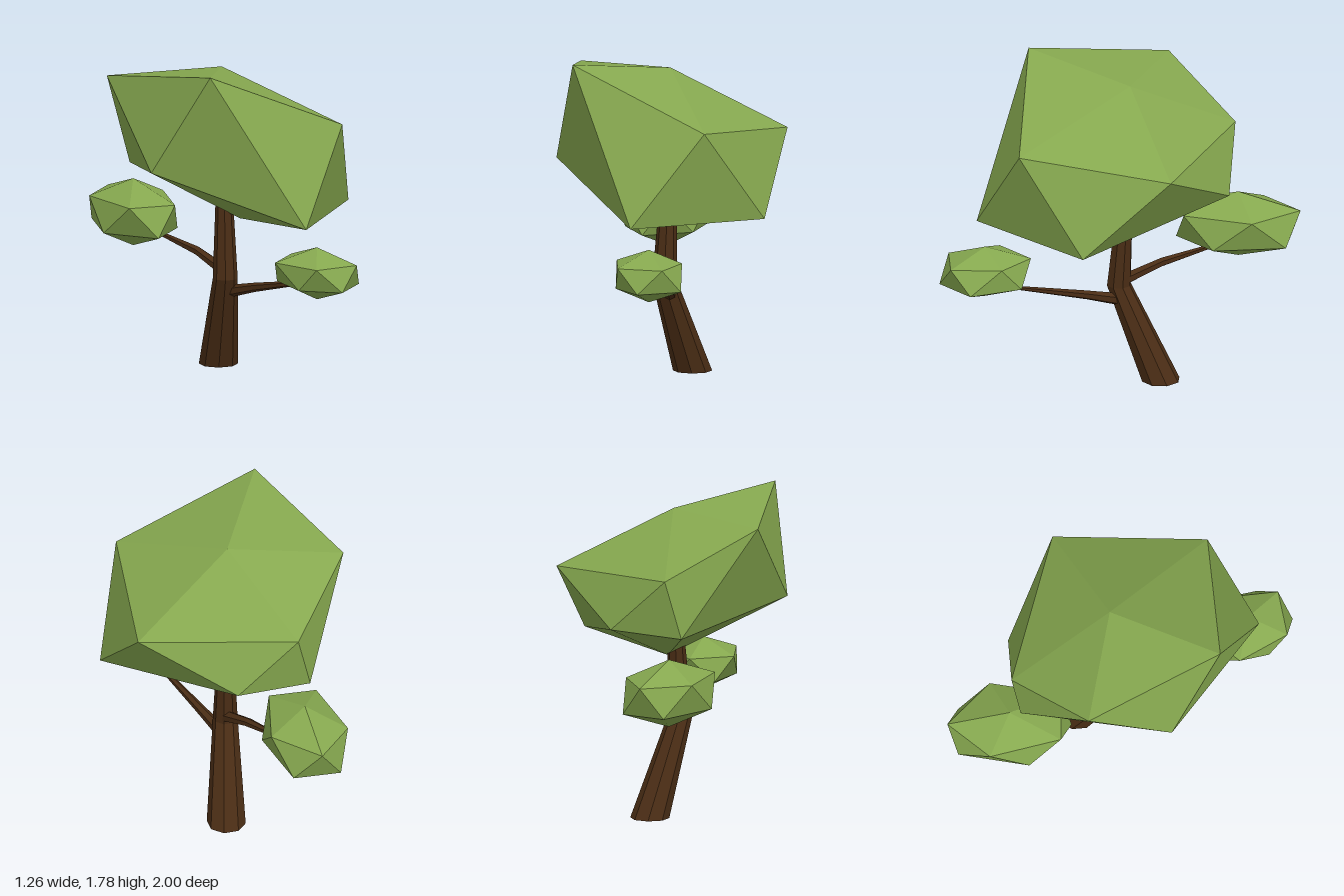
import * as THREE from 'three';

const leafMaterial = new THREE.MeshStandardMaterial({ color: 0x86a84f, flatShading: true });
const barkMaterial = new THREE.MeshStandardMaterial({ color: 0x4a2d15, flatShading: true });

// Twenty-faced foliage: two poles and a ten-point zigzag belt (upper, lower, upper...),
// counter-clockwise seen from above.
function foliage(name, top, belt, bottom) {
  const geometry = new THREE.BufferGeometry();
  geometry.setAttribute('position', new THREE.Float32BufferAttribute([...belt, top, bottom].flat(), 3));
  const faces = [];
  for (let i = 0; i < 10; i += 2) {
    const low = i + 1, next = (i + 2) % 10, nextLow = (i + 3) % 10;
    faces.push(10, i, next, i, low, next, low, nextLow, next, 11, nextLow, low);
  }
  geometry.setIndex(faces);
  const flat = geometry.toNonIndexed();
  flat.computeVertexNormals();
  const mesh = new THREE.Mesh(flat, leafMaterial);
  mesh.name = name;
  return mesh;
}

// Small clump, point-symmetric about its centre; half the belt is given as [x, z] offsets.
function clump(name, [x, y, z], height, half) {
  const ring = [...half, ...half.map(([a, b]) => [-a, -b])];
  const belt = ring.map(([a, b], i) => [x + a, y + (i % 2 ? -1 : 1) * height * 0.447, z + b]);
  return foliage(name, [x, y + height, z], belt, [x, y - height, z]);
}

// Tapered limb through [x, y, z, radius] stations. Heading 0 keeps its rings level,
// 1 and -1 face them forward and backward.
function limb(name, stations, sides, heading = 0) {
  const last = stations.length - 1;
  const geometry = new THREE.CylinderGeometry(1, 1, last, sides, last);
  const p = geometry.attributes.position;
  for (let i = 0; i < p.count; i++) {
    const [x, y, z, r] = stations[Math.round(p.getY(i) + last / 2)];
    const a = p.getX(i) * r, b = p.getZ(i) * r;
    if (heading) p.setXYZ(i, x + a, y - heading * b, z);
    else p.setXYZ(i, x + a, y, z + b);
  }
  geometry.computeVertexNormals();
  const mesh = new THREE.Mesh(geometry, barkMaterial);
  mesh.name = name;
  return mesh;
}

export function createModel() {
  const tree = new THREE.Group();
  tree.name = 'tree';

  // Leaning trunk with a bend, and two side branches
  tree.add(
    limb('trunk', [[0.107, 0, -0.187, 0.107], [-0.04, 0.53, 0.005, 0.068], [-0.02, 1.0, -0.022, 0.046]], 8),
    limb('frontBranch', [[-0.01, 0.45, 0, 0.036], [-0.01, 0.503, 0.2, 0.026], [-0.02, 0.6, 0.63, 0.01]], 6, 1),
    limb('backBranch', [[-0.02, 0.555, 0, 0.036], [-0.01, 0.64, -0.23, 0.026], [-0.01, 0.7, -0.53, 0.012]], 6, -1),
  );

  // Large lopsided crown
  tree.add(foliage('crown', [-0.01, 1.7, -0.05], [
    [0.2, 1.45, 0.66], [0.52, 0.94, 0.4],
    [0.63, 1.37, -0.07], [0.29, 1.11, -0.52],
    [-0.02, 1.41, -0.66], [-0.11, 1.09, -0.65],
    [-0.51, 1.67, -0.44], [-0.63, 1.21, 0.01],
    [-0.53, 1.78, 0.36], [-0.2, 0.94, 0.77],
  ], [0.03, 0.86, 0.05]));

  // Small clumps on the branch ends
  tree.add(
    clump('frontClump', [-0.1, 0.68, 0.755], 0.145,
      [[0.08, 0.225], [0.18, 0.145], [0.18, -0.035], [0.165, -0.155], [0.055, -0.245]]),
    clump('backClump', [-0.045, 0.797, -0.685], 0.187,
      [[0.13, -0.315], [0, -0.315], [-0.145, -0.195], [-0.235, 0], [-0.235, 0.195]]),
  );
  return tree;
}
